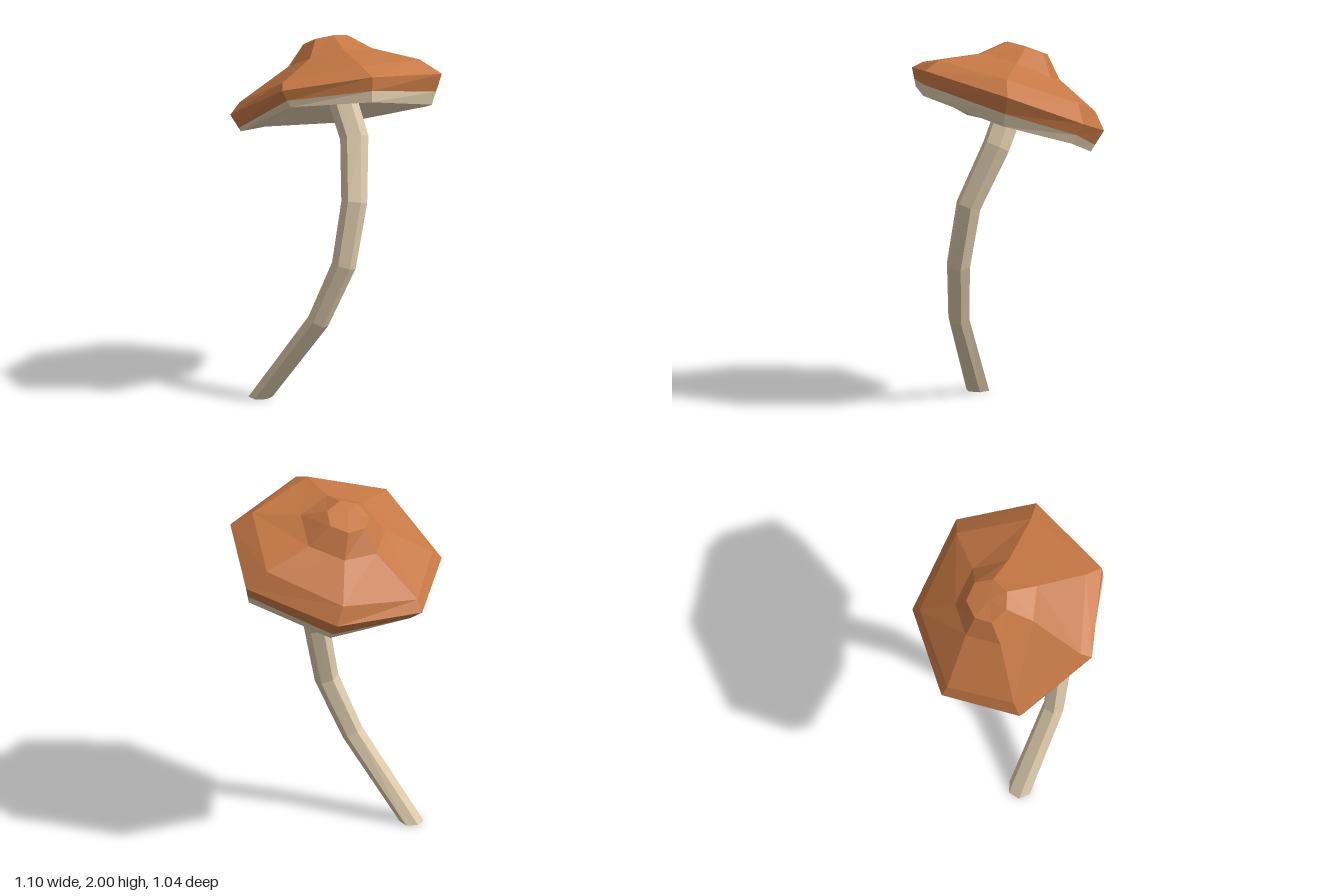
import * as THREE from 'three';

const V = (p) => new THREE.Vector3(...p);

// Seven-sided cap sections, listed clockwise as seen from above, starting at the back
const crown = [[-0.145, 1.915, -0.22], [-0.04, 1.94, -0.21], [0, 1.98, -0.12], [-0.045, 2, -0.02],
  [-0.135, 1.98, 0.01], [-0.22, 1.93, -0.04], [-0.22, 1.915, -0.14]].map(V);
const bumpBase = [[-0.14, 1.78, -0.285], [0.065, 1.83, -0.265], [0.155, 1.925, -0.09], [0.06, 1.955, 0.11],
  [-0.12, 1.91, 0.16], [-0.28, 1.82, 0.035], [-0.285, 1.78, -0.165]].map(V);
const shoulder = [[-0.18, 1.6, -0.475], [0.255, 1.735, -0.435], [0.43, 1.89, -0.07], [0.225, 1.94, 0.33],
  [-0.18, 1.85, 0.46], [-0.505, 1.645, 0.2], [-0.52, 1.54, -0.18]].map(V);
const rim = [[-0.16, 1.5, -0.525], [0.36, 1.64, -0.478], [0.548, 1.815, -0.088], [0.305, 1.9, 0.39],
  [-0.165, 1.82, 0.52], [-0.543, 1.585, 0.25], [-0.55, 1.475, -0.2]].map(V);
const lip = [[-0.105, 1.393, -0.46], [0.36, 1.53, -0.42], [0.5, 1.645, -0.06], [0.305, 1.763, 0.4],
  [-0.125, 1.725, 0.495], [-0.48, 1.5, 0.26], [-0.475, 1.415, -0.165]].map(V);
// How far the cap colour runs down the side at each corner
const paintDepth = [0.68, 0.57, 0.57, 0.55, 0.6, 0.8, 0.98];
const paintLine = rim.map((p, i) => p.clone().lerp(lip[i], paintDepth[i]));

// Flat-sided skin through sections from top to bottom, optionally closed by fans
function skin(sections, topCentre, bottomCentre) {
  const points = [];
  const n = sections[0].length;
  const last = sections.length - 1;
  for (let i = 0; i < n; i++) {
    const j = (i + 1) % n;
    for (let s = 0; s < last; s++) {
      const u = sections[s], l = sections[s + 1];
      points.push(l[j], l[i], u[i], l[j], u[i], u[j]);
    }
    if (topCentre) points.push(topCentre, sections[0][j], sections[0][i]);
    if (bottomCentre) points.push(bottomCentre, sections[last][i], sections[last][j]);
  }
  const geometry = new THREE.BufferGeometry().setFromPoints(points);
  geometry.computeVertexNormals();
  return geometry;
}

// Six-sided section square to the stem's direction, clockwise from above
function stemSection(centre, radius, direction) {
  const turn = new THREE.Quaternion().setFromUnitVectors(new THREE.Vector3(0, 1, 0), direction);
  return Array.from({ length: 6 }, (_, k) => {
    const a = THREE.MathUtils.degToRad(-12 - 60 * k);
    return new THREE.Vector3(Math.sin(a) * radius, 0, Math.cos(a) * radius)
      .applyQuaternion(turn).add(centre);
  });
}

export function createModel() {
  const group = new THREE.Group();
  const capColour = new THREE.MeshStandardMaterial({ color: 0xc67845 });
  capColour.name = 'rust orange';
  const stemColour = new THREE.MeshStandardMaterial({ color: 0xdcc9ab });
  stemColour.name = 'pale cream';
  capColour.flatShading = stemColour.flatShading = true;

  const add = (name, geometry, material) => {
    const mesh = new THREE.Mesh(geometry, material);
    mesh.name = name;
    group.add(mesh);
  };

  // Cap: domed top with painted upper side, pale lower side and hollow underside
  add('capTop', skin([crown, bumpBase, shoulder, rim, paintLine], V([-0.11, 1.965, -0.1])), capColour);
  add('capEdge', skin([paintLine, lip]), stemColour);
  add('capUnderside', skin([lip], null, V([-0.06, 1.74, -0.08])), stemColour);

  // Curved stem, from the level foot up into the cap
  const path = [[-0.39, 0.005, 0.19], [-0.045, 0.47, 0.25], [0.095, 0.79, 0.235],
    [0.135, 1.13, 0.175], [0.09, 1.45, 0.03], [-0.06, 1.78, -0.08]].map(V);
  const radii = [0.065, 0.06, 0.066, 0.07, 0.077, 0.08];
  const sections = path.map((p, i) => {
    const before = path[Math.max(i - 1, 0)], after = path[Math.min(i + 1, path.length - 1)];
    const direction = i === 0 ? new THREE.Vector3(0, 1, 0)
      : p.clone().sub(before).normalize().add(after.clone().sub(p).normalize()).normalize();
    return stemSection(p, radii[i], direction);
  }).reverse();
  add('stem', skin(sections, path[path.length - 1], path[0]), stemColour);

  return group;
}
